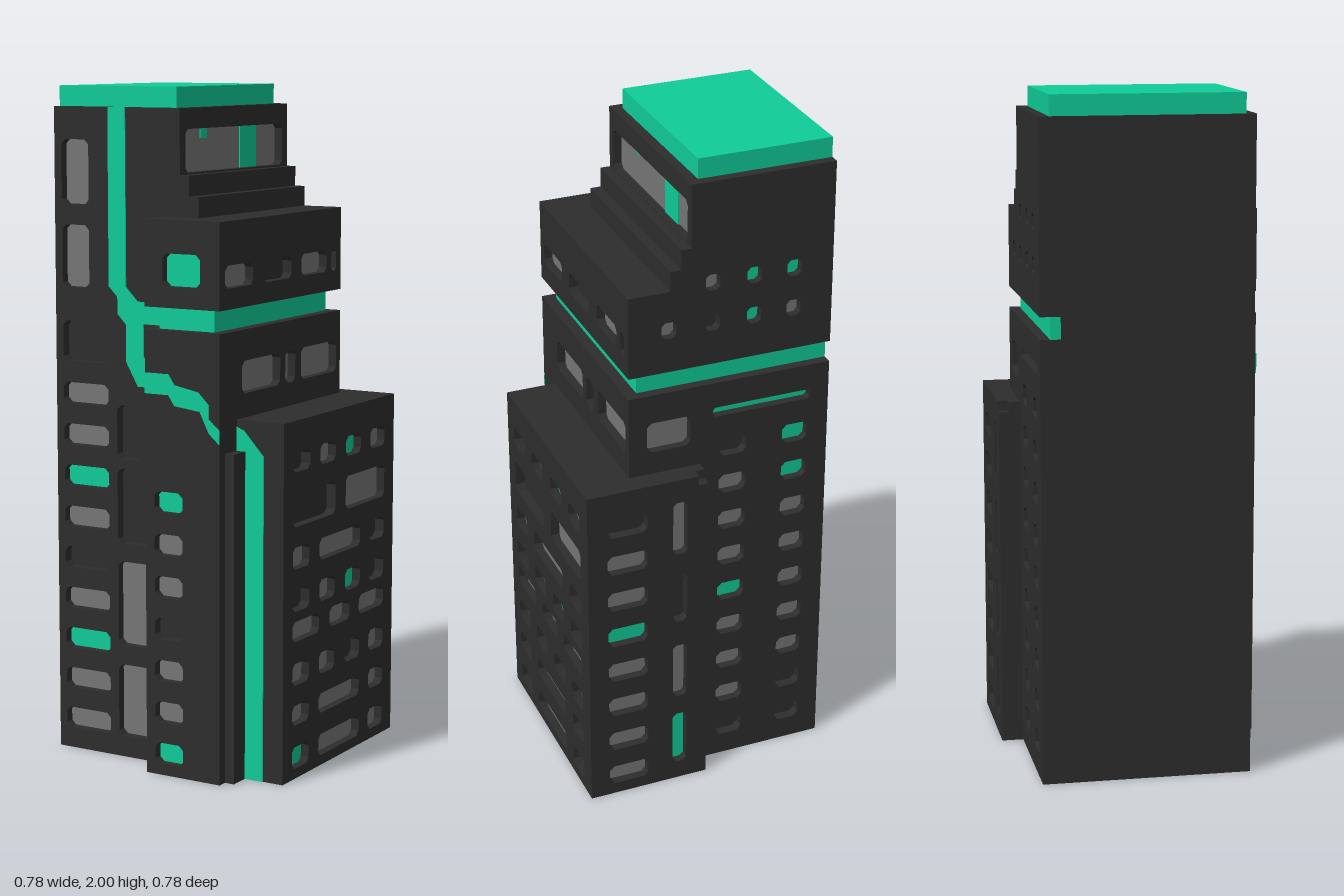
import * as THREE from 'three';

const DEPTH = 0.03; // window recess depth

export function createModel() {
  const model = new THREE.Group();
  model.name = 'towerBlock';
  const mat = (name, color) => Object.assign(new THREE.MeshStandardMaterial({ color }), { name });
  const wall = mat('charcoal wall', 0x2d2d2d);
  const teal = mat('teal accent', 0x0fcc97);
  const glass = mat('grey glass', 0x767676);
  const paneMaterial = { G: glass, T: teal };

  // Axis-aligned box from its limits
  function box(name, material, x0, x1, y0, y1, z0, z1) {
    const m = new THREE.Mesh(new THREE.BoxGeometry(x1 - x0, y1 - y0, z1 - z0), material);
    m.position.set((x0 + x1) / 2, (y0 + y1) / 2, (z0 + z1) / 2);
    m.name = name;
    model.add(m);
  }

  // Corner points of a rectangle with clipped corners
  function clipped(x0, x1, y0, y1) {
    const c = Math.min(0.014, (x1 - x0) / 4, (y1 - y0) / 4);
    return [[x0 + c, y0], [x1 - c, y0], [x1, y0 + c], [x1, y1 - c], [x1 - c, y1], [x0 + c, y1], [x0, y1 - c], [x0, y0 + c]]
      .map(([x, y]) => new THREE.Vector2(x, y));
  }

  // Wall panel with recessed windows [u0, u1, y0, y1, kind]; u is world x (front, back) or z (right)
  function facade(name, side, plane, u0, u1, y0, y1, windows) {
    const group = new THREE.Group();
    group.name = name;
    group.rotation.y = { front: 0, back: Math.PI, right: Math.PI / 2 }[side];
    const span = (a, b) => (side === 'front' ? [a, b] : [-a, -b]).sort((p, q) => p - q);
    const [a, b] = span(u0, u1);
    const shape = new THREE.Shape([[a, y0], [b, y0], [b, y1], [a, y1]].map(p => new THREE.Vector2(...p)));
    for (const [w0, w1, v0, v1, kind] of windows) {
      const [c, d] = span(w0, w1);
      shape.holes.push(new THREE.Path(clipped(c, d, v0, v1)));
      if (kind === 'D') continue; // dark recess shows the wall behind
      const pane = new THREE.Mesh(new THREE.PlaneGeometry(d - c, v1 - v0), paneMaterial[kind]);
      pane.position.set((c + d) / 2, (v0 + v1) / 2, plane - DEPTH + 0.004);
      pane.name = 'windowPane';
      group.add(pane);
    }
    const panel = new THREE.Mesh(new THREE.ExtrudeGeometry(shape, { depth: DEPTH, bevelEnabled: false }), wall);
    panel.position.z = plane - DEPTH;
    panel.name = 'windowWall';
    group.add(panel);
    model.add(group);
  }

  // A column of equal windows, one letter each, from the top down
  const column = (u0, u1, top, height, step, kinds) =>
    [...kinds].map((k, i) => [u0, u1, top - i * step - height, top - i * step, k]);

  // Lower tower
  box('lowerTowerCore', wall, -0.39, -0.015, 0, 1.315, -0.295, 0.265);
  facade('lowerTowerFront', 'front', 0.295, -0.39, -0.015, 0, 1.315, [
    [-0.365, -0.205, 1.19, 1.35 - 0.04, 'D'],
    ...column(-0.365, -0.205, 1.126, 0.063, 0.125, 'GGTGDGTGG'),
    [-0.175, -0.08, 0.91, 1.07, 'D'], [-0.175, -0.05, 0.655, 0.88, 'D'],
    [-0.175, -0.05, 0.345, 0.6, 'G'], [-0.175, -0.05, 0.065, 0.285, 'G'],
  ]);
  facade('lowerTowerBack', 'back', 0.325, -0.39, -0.015, 0, 1.315, [
    ...column(-0.13, -0.045, 1.13, 0.06, 0.125, 'DGGGTGGGD'),
    ...column(-0.325, -0.245, 1.13, 0.06, 0.125, 'TTGGGGGDD'),
    [-0.33, -0.025, 1.205, 1.235, 'T'],
  ]);

  // Front block, projecting from the tower
  box('frontBlockCore', wall, -0.015, 0.205, 0, 1.315, -0.295, 0.36);
  box('frontBlockReturn', wall, 0.2, 0.235, 0, 1.06, 0.28, 0.36);
  box('frontBlockStep', wall, 0.235, 0.265, 0, 0.97, 0.28, 0.36);
  facade('frontBlockFront', 'front', 0.39, -0.015, 0.235, 0, 1.315, [
    ...column(0.015, 0.11, 0.847, 0.063, 0.125, 'TGGDGGT'),
  ]);
  facade('frontBlockRight', 'right', 0.235, -0.325, 0.36, 1.03, 1.315, [
    [0.265, 0.045, 1.13, 1.225, 'G'], [0.015, -0.045, 1.13, 1.225, 'G'], [-0.08, -0.3, 1.13, 1.225, 'G'],
  ]);
  facade('frontBlockBack', 'back', 0.325, -0.015, 0.205, 0, 1.315, [[0.045, 0.18, 1.13, 1.225, 'G']]);

  // Low side block
  box('sideBlockCore', wall, 0.015, 0.36, 0, 1.06, -0.36, 0.295);
  box('sideBlockNotch', wall, 0.015, 0.045, 0, 1.03, -0.39, -0.36);
  const cols = [[0.24, 0.14], [0.08, -0.015], [-0.08, -0.175], [-0.235, -0.33]];
  // Each row: bottom, top, then [first column, last column, kind]
  const rows = [
    [0.91, 0.97, [0, 0, 'D'], [1, 1, 'G'], [2, 2, 'T'], [3, 3, 'G']],
    [0.75, 0.85, [0, 1, 'D'], [2, 3, 'G']],
    [0.625, 0.69, [0, 0, 'G'], [1, 2, 'G'], [3, 3, 'D']],
    [0.5, 0.565, [0, 0, 'D'], [1, 1, 'G'], [2, 2, 'T'], [3, 3, 'D']],
    [0.28, 0.345, [0, 0, 'G'], [1, 1, 'G'], [2, 2, 'D'], [3, 3, 'G']],
    [0.16, 0.22, [0, 0, 'G'], [1, 2, 'G'], [3, 3, 'G']],
    [0.03, 0.095, [0, 0, 'T'], [1, 2, 'G'], [3, 3, 'G']],
  ];
  facade('sideBlockRight', 'right', 0.39, -0.39, 0.295, 0, 1.06, [
    ...rows.flatMap(([v0, v1, ...wins]) => wins.map(([i, j, k]) => [cols[i][0], cols[j][1], v0, v1, k])),
    ...[[0.24, 0.08], [0.015, -0.11], [-0.17, -0.33]].map(([p, q]) => [p, q, 0.41, 0.47, 'G']),
  ]);
  facade('sideBlockBack', 'back', 0.39, 0.045, 0.36, 0, 1.06, [
    ...column(0.205, 0.33, 0.975, 0.063, 0.125, 'DGGTGGGG'),
    [0.08, 0.125, 0.81, 0.985, 'G'], [0.08, 0.125, 0.575, 0.74, 'D'],
    [0.08, 0.125, 0.305, 0.49, 'G'], [0.08, 0.125, 0.06, 0.24, 'T'],
  ]);

  // Recessed teal band between lower and upper storeys
  box('bandTowerCore', wall, -0.39, 0, 1.315, 1.38, -0.265, 0.295);
  box('bandBack', teal, -0.39, 0.2, 1.315, 1.38, -0.295, -0.265);
  box('bandRight', teal, 0.015, 0.2, 1.315, 1.38, -0.265, 0.36);

  // Upper side block
  box('upperBlockCore', wall, 0.04, 0.205, 1.38, 1.63, -0.295, 0.36);
  box('upperBlockReturn', wall, -0.015, 0.045, 1.38, 1.63, 0.28, 0.36);
  facade('upperBlockFront', 'front', 0.39, -0.015, 0.205, 1.38, 1.63, [[0.045, 0.17, 1.44, 1.535, 'T']]);
  facade('upperBlockRight', 'right', 0.235, -0.325, 0.39, 1.38, 1.63, [
    [0.36, 0.205, 1.44, 1.505, 'G'], [0.145, -0.02, 1.44, 1.505, 'D'],
    [-0.08, -0.235, 1.44, 1.505, 'G'], [-0.265, -0.295, 1.44, 1.505, 'T'],
  ]);
  facade('upperBlockBack', 'back', 0.325, 0.045, 0.205, 1.38, 1.63, [[0.09, 0.135, 1.485, 1.535, 'G']]);

  // Upper tower with stepped shoulder
  box('upperTowerCore', wall, -0.39, 0.015, 1.38, 1.94, -0.295, 0.265);
  facade('upperTowerFront', 'front', 0.295, -0.39, 0.015, 1.38, 1.94, [
    [-0.365, -0.27, 1.655, 1.845, 'G'], [-0.365, -0.27, 1.41, 1.595, 'G'],
  ]);
  facade('upperTowerBack', 'back', 0.325, -0.39, 0.015, 1.38, 1.94,
    [[-0.02, 'GD'], [-0.147, 'TT'], [-0.27, 'TG']].flatMap(([x, kinds]) =>
      column(x - 0.022, x + 0.022, 1.66, 0.05, 0.125, kinds)));
  facade('upperTowerRight', 'right', 0.045, -0.325, 0.295, 1.38, 1.94, [[0.265, -0.295, 1.755, 1.88, 'G']]);
  box('windowAccentLarge', teal, 0.017, 0.023, 1.755, 1.88, -0.175, -0.08);
  box('windowAccentSmall', teal, 0.017, 0.023, 1.85, 1.88, 0.11, 0.145);
  box('shoulderUpper', wall, 0.045, 0.075, 1.63, 1.75, -0.325, 0.295);
  box('shoulderLower', wall, 0.075, 0.108, 1.63, 1.69, -0.325, 0.295);
  box('roofCap', teal, -0.39, 0.015, 1.94, 2, -0.295, 0.265);

  // Teal ribbon winding down the front
  function ribbon(z, points) {
    const shape = new THREE.Shape(points.map(p => new THREE.Vector2(...p)));
    const m = new THREE.Mesh(new THREE.ExtrudeGeometry(shape, { depth: 0.006, bevelEnabled: false }), teal);
    m.position.z = z - 0.003;
    m.name = 'frontRibbon';
    model.add(m);
  }
  ribbon(0.295, [[-0.2, 1.94], [-0.2, 1.42], [-0.17, 1.39], [-0.17, 1.34], [-0.14, 1.31], [-0.14, 1.2], [-0.1, 1.13],
    [-0.015, 1.13], [-0.015, 1.19], [-0.06, 1.19], [-0.08, 1.22], [-0.08, 1.315], [-0.015, 1.315], [-0.015, 1.38],
    [-0.1, 1.38], [-0.14, 1.42], [-0.14, 1.94]]);
  ribbon(0.39, [[-0.015, 1.13], [0.065, 1.13], [0.085, 1.1], [0.17, 1.09], [0.2, 1.03], [0.235, 1.0], [0.235, 1.04],
    [0.2, 1.07], [0.2, 1.11], [0.165, 1.145], [0.085, 1.16], [0.065, 1.19], [-0.015, 1.19]]);
  ribbon(0.295, [[0.235, 0.97], [0.265, 0.93], [0.265, 0], [0.325, 0], [0.325, 0.96], [0.26, 1.03], [0.235, 1.04]]);

  return model;
}
